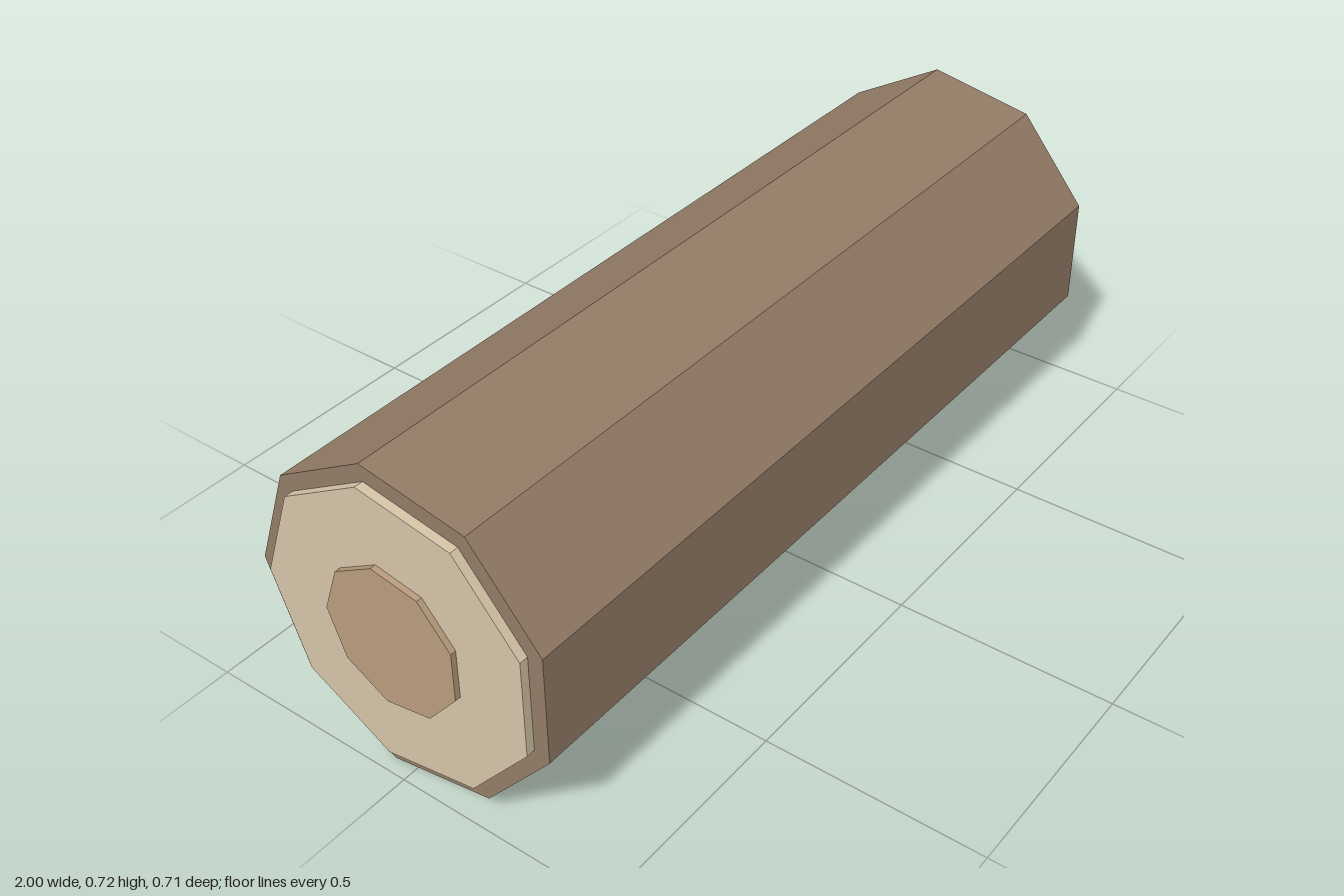
import * as THREE from 'three';

const SIDES = 9;

// Nine-sided prism lying along x, with one corner pointing to the back
function prism(name, radius, halfLength, color) {
  const geometry = new THREE.CylinderGeometry(radius, radius, halfLength * 2, SIDES);
  geometry.rotateZ(Math.PI / 2).rotateY(Math.PI);
  const mesh = new THREE.Mesh(geometry, new THREE.MeshStandardMaterial({ color, flatShading: true }));
  mesh.name = name;
  mesh.position.set(0, 0.361, 0.011);
  return mesh;
}

export function createModel() {
  const log = new THREE.Group();
  log.name = 'log';
  // Each inner layer is longer, so it steps out of both ends
  log.add(
    prism('bark', 0.366, 0.967, 0x937c67),
    prism('sapwood', 0.329, 0.987, 0xd5c5a8),
    prism('heartwood', 0.1645, 1, 0xb89c7d),
  );
  return log;
}
